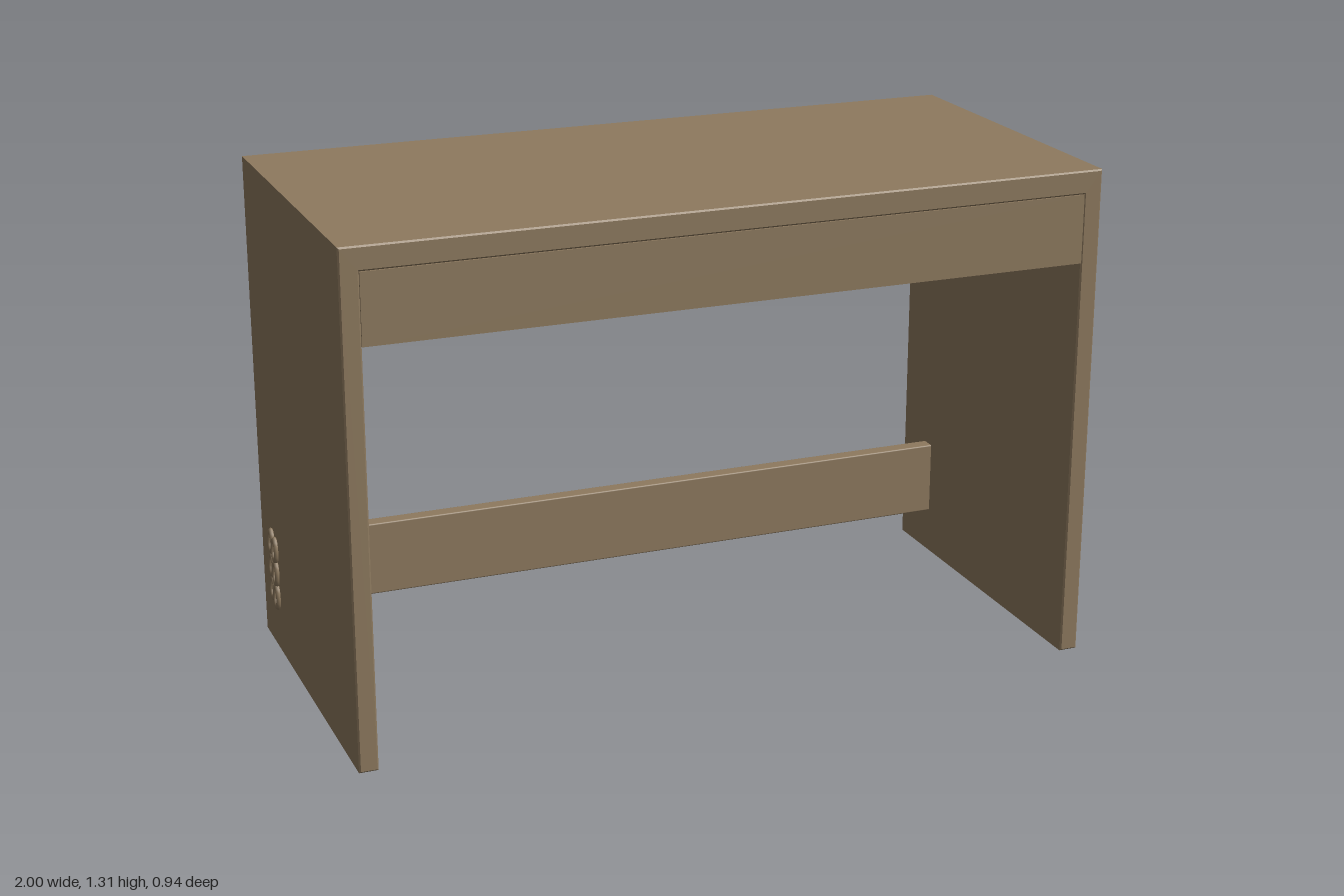
import * as THREE from 'three';
import { RoundedBoxGeometry } from 'three/addons/geometries/RoundedBoxGeometry.js';

export function createModel() {
  const desk = new THREE.Group();
  desk.name = 'desk';
  const wood = new THREE.MeshStandardMaterial({ color: 0x8e7a5f });
  wood.name = 'brown wood';

  const add = (name, geometry, parent = desk) => {
    const mesh = new THREE.Mesh(geometry, wood);
    mesh.name = name;
    parent.add(mesh);
    return mesh;
  };

  // Box given by its lower and upper limits on each axis
  const addBox = (name, [x0, x1], [y0, y1], [z0, z1], radius = 0) => {
    const size = [x1 - x0, y1 - y0, z1 - z0];
    const geometry = radius
      ? new RoundedBoxGeometry(...size, 2, radius)
      : new THREE.BoxGeometry(...size);
    add(name, geometry).position.set((x0 + x1) / 2, (y0 + y1) / 2, (z0 + z1) / 2);
  };

  const outer = 0.987, inner = 0.938, height = 1.313, under = 1.252;
  const back = -0.473, front = 0.467;

  // Top and both side panels: one continuous arch with softened edges
  const b = 0.004;
  const arch = new THREE.Shape([
    [-outer + b, b], [-inner - b, b], [-inner - b, under + b], [inner + b, under + b],
    [inner + b, b], [outer - b, b], [outer - b, height - b], [-outer + b, height - b],
  ].map(([x, y]) => new THREE.Vector2(x, y)));
  const archGeometry = new THREE.ExtrudeGeometry(arch, {
    depth: front - back - 2 * b, bevelSize: b, bevelThickness: b, bevelSegments: 1,
  });
  archGeometry.translate(0, 0, back + b);
  add('topAndSidePanels', archGeometry);

  // Front apron, flush with the panels
  addBox('apron', [-inner, inner], [1.073, under], [0.42, front + 0.001]);

  // Two drawer boxes with a fine seam between them
  for (const side of [-1, 1]) {
    const xs = [side * 0.003, side * inner].sort((p, q) => p - q);
    addBox(side > 0 ? 'leftDrawer' : 'rightDrawer', xs, [1.079, under], [-0.37, 0.42]);
  }

  // Rear stretcher rail
  addBox('stretcher', [-inner - 0.01, inner + 0.01], [0.122, 0.323], [-0.347, -0.305], 0.004);

  // Raised joint on the outside of each panel: two columns of three loops
  for (const side of [-1, 1]) {
    const joint = new THREE.Group();
    joint.name = side > 0 ? 'leftJoint' : 'rightJoint';
    for (const z of [-0.309, -0.345]) {
      for (let row = 0; row < 3; row++) {
        const loop = add('jointLoop', new THREE.TorusGeometry(0.018, 0.006, 6, 16), joint);
        loop.rotation.y = Math.PI / 2;
        loop.scale.set(0.9, 1.6, 1.3);
        loop.position.set(side * (outer + 0.004), 0.155 + row * 0.066 + (z < -0.33 ? 0.012 : 0), z);
      }
    }
    desk.add(joint);
  }

  return desk;
}
